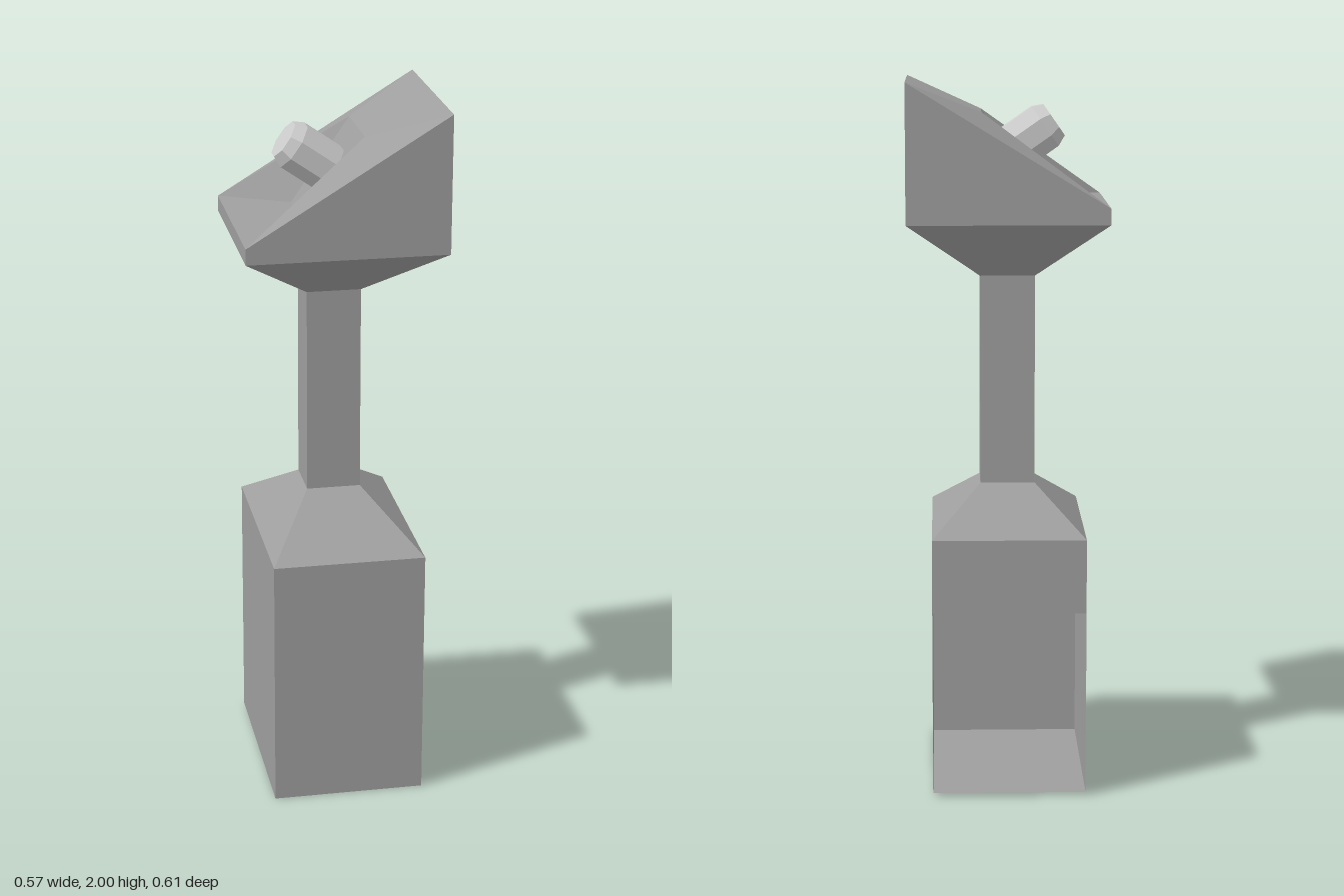
import * as THREE from 'three';

const bodyMaterial = new THREE.MeshStandardMaterial({ color: 0x9e9e9e, flatShading: true, side: THREE.DoubleSide });
const spoutMaterial = new THREE.MeshStandardMaterial({ color: 0xcccccc, flatShading: true });

// Rectangular ring: front-left, front-right, back-right, back-left as seen from the front;
// its height may differ between the -x side and the +x side
function ring(x0, x1, zc, hz, yLow, yHigh = yLow) {
  return [
    [x0, yLow, zc + hz], [x1, yHigh, zc + hz],
    [x1, yHigh, zc - hz], [x0, yLow, zc - hz],
  ];
}

// Walls between two rings; the back wall (side 2) is split along the mirrored diagonal of the front
function walls(lower, upper, sides = [0, 1, 2, 3]) {
  return sides.map((i) => {
    const j = (i + 1) % 4;
    return i === 2
      ? [lower[j], upper[j], upper[i], lower[i]]
      : [lower[i], lower[j], upper[j], upper[i]];
  });
}

function meshFromQuads(name, quads) {
  const points = quads.flatMap(([a, b, c, d]) => [a, b, c, a, c, d]).flat();
  const geometry = new THREE.BufferGeometry();
  geometry.setAttribute('position', new THREE.Float32BufferAttribute(points, 3));
  geometry.computeVertexNormals();
  const mesh = new THREE.Mesh(geometry, bodyMaterial);
  mesh.name = name;
  return mesh;
}

export function createModel() {
  const fountain = new THREE.Group();
  fountain.name = 'drinkingFountain';

  // Cross-sections from the ground up
  const foot = ring(-0.217, 0.214, -0.005, 0.3, 0);
  const lip = ring(-0.217, 0.214, -0.005, 0.3, 0.52);
  const baseTop = ring(-0.217, 0.214, -0.005, 0.3, 0.73);
  const neckLow = ring(-0.078, 0.076, -0.036, 0.073, 0.855);
  const neckHigh = ring(-0.078, 0.076, -0.04, 0.073, 1.447);
  const headLow = ring(-0.281, 0.281, -0.0125, 0.26, 1.603);
  const headRim = ring(-0.281, 0.281, -0.0125, 0.26, 1.648, 1.991);
  const basinRim = ring(-0.095, 0.07, -0.0125, 0.1125, 1.662, 1.902);

  // Hollow base, open at the back below a lip
  fountain.add(meshFromQuads('base', [
    ...walls(foot, baseTop, [0, 1, 3]),
    ...walls(lip, baseTop, [2]),
    [...foot].reverse(),
  ]));

  // Stacked lofted parts
  fountain.add(
    meshFromQuads('shoulder', walls(baseTop, neckLow)),
    meshFromQuads('neck', walls(neckLow, neckHigh)),
    meshFromQuads('headUnderside', walls(neckHigh, headLow)),
    meshFromQuads('head', walls(headLow, headRim)),
    meshFromQuads('headTop', walls(headRim, basinRim)),
    meshFromQuads('basin', [basinRim]),
  );

  // Octagonal spout with a chamfered end, standing square on the sloping basin
  const toCorner = 1 / Math.cos(Math.PI / 8);
  const profile = [[0, -0.03], [0.066, -0.03], [0.066, 0.123], [0.052, 0.154], [0, 0.154]]
    .map(([r, y]) => new THREE.Vector2(r * toCorner, y));
  const spout = new THREE.Mesh(new THREE.LatheGeometry(profile, 8, Math.PI / 8), spoutMaterial);
  spout.name = 'spout';
  spout.position.set(-0.008, 1.788, -0.0125);
  spout.rotation.z = Math.atan2(0.82, 0.57);
  fountain.add(spout);

  // Slight lean and turn of the whole post
  fountain.rotation.set(THREE.MathUtils.degToRad(0.9), THREE.MathUtils.degToRad(0.4), 0);
  fountain.position.y = 0.005;
  const model = new THREE.Group();
  model.name = 'model';
  model.add(fountain);
  return model;
}
